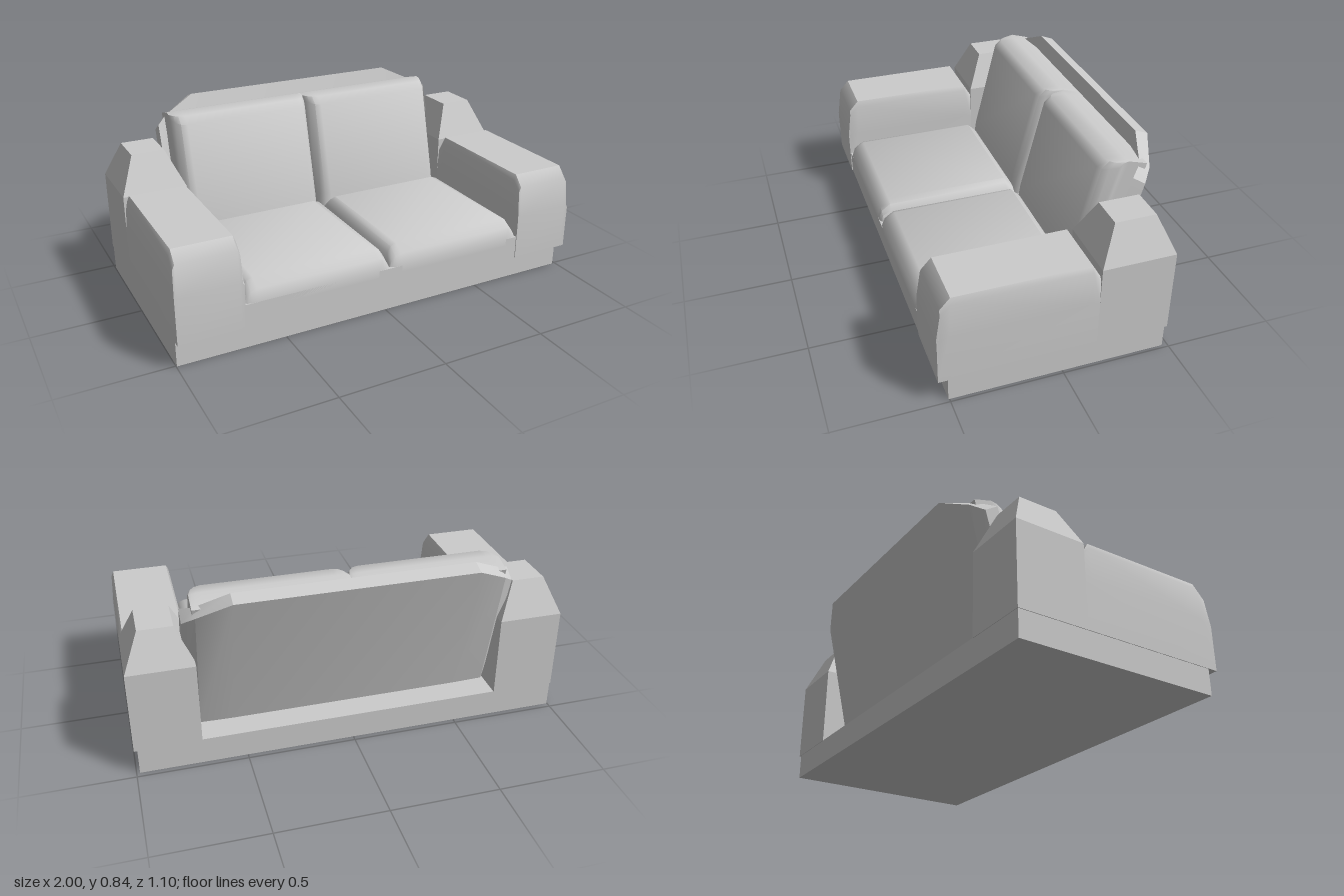
import * as THREE from 'three';
import { toCreasedNormals } from 'three/addons/utils/BufferGeometryUtils.js';

const material = new THREE.MeshStandardMaterial({ color: 0xcccccc });

// Skin a row of sections { x, points: [z, y] }, points running up the front, over the top, down the back
function loft(sections, crease) {
  const n = sections[0].points.length;
  const last = (sections.length - 1) * n;
  const positions = sections.flatMap(s => s.points.flatMap(([z, y]) => [s.x, y, z]));
  const index = [];
  for (let i = 0; i < sections.length - 1; i++) {
    for (let j = 0; j < n; j++) {
      const a = i * n + j, d = i * n + (j + 1) % n;
      index.push(a, a + n, d + n, a, d + n, d);
    }
  }
  for (let j = 1; j < n - 1; j++) {
    index.push(0, j, j + 1, last, last + j + 1, last + j);
  }
  const g = new THREE.BufferGeometry();
  g.setAttribute('position', new THREE.Float32BufferAttribute(positions, 3));
  g.setIndex(index);
  return toCreasedNormals(g, crease);
}

// Block from x0 to x1 whose profile swells from 'end' to 'full' through [inset, amount] steps, symmetrically
function padded(x0, x1, end, full, steps, crease = 0.75) {
  const mix = t => full.map(([z, y], k) => [
    THREE.MathUtils.lerp(end[k][0], z, t), THREE.MathUtils.lerp(end[k][1], y, t)]);
  const near = steps.map(([d, t]) => ({ x: x0 + d, points: mix(t) }));
  const far = steps.map(([d, t]) => ({ x: x1 - d, points: mix(t) })).reverse();
  return loft([...near, ...far], crease);
}

export function createModel() {
  const group = new THREE.Group();
  const add = (name, geometry) => {
    const mesh = new THREE.Mesh(geometry, material);
    mesh.name = name;
    group.add(mesh);
  };
  const box = (name, x0, x1, y0, y1, z0, z1) => add(name,
    new THREE.BoxGeometry(x1 - x0, y1 - y0, z1 - z0)
      .translate((x0 + x1) / 2, (y0 + y1) / 2, (z0 + z1) / 2));

  // Recessed plinth and the seat frame on it
  box('plinth', -0.997, 0.985, 0, 0.125, -0.475, 0.505);
  box('seatFrame', -0.71, 0.71, 0.122, 0.232, -0.3, 0.546);

  // Armrests with rounded fronts
  const armFull = [[0.55, 0.122], [0.55, 0.34], [0.53, 0.48], [0.485, 0.53], [-0.11, 0.53], [-0.145, 0.47], [-0.145, 0.122]];
  const armEnd = [[0.55, 0.122], [0.55, 0.33], [0.54, 0.34], [0.5, 0.35], [-0.11, 0.35], [-0.145, 0.34], [-0.145, 0.122]];
  const armSteps = [[0, 0], [0.007, 0.85], [0.018, 1]];

  // Rear corner posts with tapered tops
  const postEnd = [[-0.145, 0.122], [-0.145, 0.51], [-0.145, 0.51], [-0.478, 0.51], [-0.478, 0.51], [-0.478, 0.122]];
  const postFull = [[-0.145, 0.122], [-0.145, 0.51], [-0.22, 0.678], [-0.405, 0.678], [-0.478, 0.51], [-0.478, 0.122]];

  for (const [side, x0, x1] of [['left', 0.7, 1], ['right', -1, -0.7]]) {
    add(side + 'Armrest', padded(x0, x1, armEnd, armFull, armSteps));
    add(side + 'CornerPost', padded(x0, x1, postEnd, postFull, [[0, 0], [0.073, 1]], 0.1));
  }

  // Seat and back cushions, thinning towards the seams
  const seatFull = [[0.546, 0.2], [0.546, 0.235], [0.53, 0.285], [0.485, 0.32], [-0.11, 0.32], [-0.15, 0.28], [-0.15, 0.2]];
  const seatEnd = [[0.535, 0.2], [0.535, 0.225], [0.525, 0.235], [0.49, 0.245], [-0.11, 0.245], [-0.15, 0.235], [-0.15, 0.2]];
  const backFull = [[-0.145, 0.24], [-0.155, 0.32], [-0.265, 0.765], [-0.3, 0.798], [-0.375, 0.804], [-0.47, 0.775], [-0.33, 0.24]];
  const backEnd = [[-0.2, 0.24], [-0.22, 0.32], [-0.34, 0.775], [-0.36, 0.795], [-0.385, 0.8], [-0.47, 0.775], [-0.33, 0.24]];
  const cushionSteps = [[0, 0], [0.014, 0.5], [0.032, 0.85], [0.06, 1]];
  for (const [side, x0, x1] of [['left', 0, 0.7], ['right', -0.7, 0]]) {
    add(side + 'SeatCushion', padded(x0, x1, seatEnd, seatFull, cushionSteps));
    add(side + 'BackCushion', padded(x0, x1, backEnd, backFull, cushionSteps));
  }

  // Leaning back panel, its upper corners cut and bent forward
  const panelFull = [[-0.29, 0.125], [-0.49, 0.843], [-0.55, 0.82], [-0.35, 0.125]];
  const panelBend = [[-0.29, 0.125], [-0.44, 0.772], [-0.49, 0.745], [-0.345, 0.125]];
  const panelEdge = [[-0.28, 0.4], [-0.385, 0.745], [-0.445, 0.705], [-0.36, 0.4]];
  const panel = [[0.745, panelEdge], [0.69, panelBend], [0.54, panelFull]];
  add('backPanel', loft([
    ...panel.map(([x, points]) => ({ x: -x, points })),
    ...panel.map(([x, points]) => ({ x, points })).reverse(),
  ], 0.3));

  return group;
}
